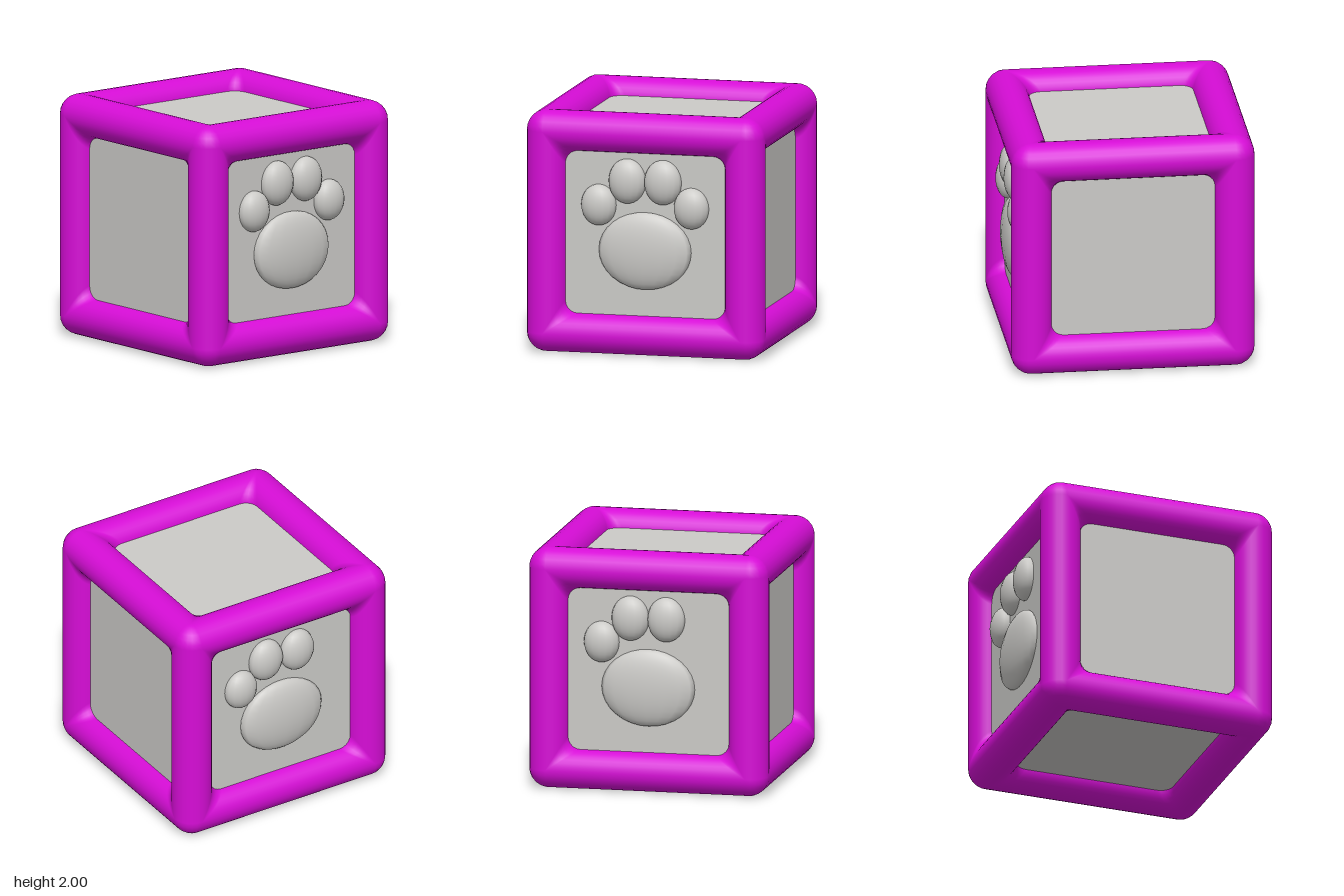
import * as THREE from 'three';

const C = 0.835;      // distance of bar axes from the cube centre
const R = 0.165;      // bar radius
const PANEL = 0.865;  // distance of the panels from the cube centre

// Inner quarter of one face's frame: rounded squares stepping from crest to opening
function innerFrameGeometry() {
  const rows = 8, arc = 5, pos = [], nor = [], idx = [];
  const n = 4 * (arc + 1);
  for (let i = 0; i <= rows; i++) {
    const a = (i / rows) * Math.PI / 2;
    const half = C - R * Math.sin(a), z = C + R * Math.cos(a);
    const r = 0.105 * Math.sin(a);
    for (let q = 0; q < 4; q++) {
      const mid = Math.PI / 4 + q * Math.PI / 2;
      const cx = Math.sign(Math.cos(mid)) * (half - r);
      const cy = Math.sign(Math.sin(mid)) * (half - r);
      for (let k = 0; k <= arc; k++) {
        const p = (q + k / arc) * Math.PI / 2;
        pos.push(cx + r * Math.cos(p), cy + r * Math.sin(p), z);
        nor.push(-Math.cos(p) * Math.sin(a), -Math.sin(p) * Math.sin(a), Math.cos(a));
      }
    }
  }
  for (let i = 0; i < rows; i++) {
    for (let j = 0; j < n; j++) {
      const a = i * n + j, b = i * n + (j + 1) % n;
      idx.push(a, b, a + n, b, b + n, a + n);
    }
  }
  const g = new THREE.BufferGeometry();
  g.setAttribute('position', new THREE.Float32BufferAttribute(pos, 3));
  g.setAttribute('normal', new THREE.Float32BufferAttribute(nor, 3));
  g.setIndex(idx);
  return g;
}

export function createModel() {
  const magenta = new THREE.MeshStandardMaterial({ color: 0xd60dd6 });
  magenta.name = 'magenta';
  const grey = new THREE.MeshStandardMaterial({ color: 0xcbcac7 });
  grey.name = 'light grey';

  const model = new THREE.Group();
  model.name = 'pawCube';
  const cube = new THREE.Group();
  cube.name = 'cube';
  cube.position.y = 1;
  model.add(cube);

  const add = (parent, name, geometry, material) => {
    const m = new THREE.Mesh(geometry, material);
    m.name = name;
    parent.add(m);
    return m;
  };

  // Core whose faces are the six panels
  add(cube, 'panels', new THREE.BoxGeometry(2 * PANEL, 2 * PANEL, 2 * PANEL), grey);

  // Rounded outer edges: four bars along each axis
  const bar = new THREE.CylinderGeometry(R, R, 2 * C, 6, 1, true, 0, Math.PI / 2);
  bar.translate(C, 0, C);
  for (const [rx, rz] of [[0, 0], [Math.PI / 2, 0], [0, Math.PI / 2]]) {
    const set = new THREE.Group();
    set.name = 'edgeBars';
    set.rotation.set(rx, 0, rz);
    for (let k = 0; k < 4; k++) add(set, 'edgeBar', bar, magenta).rotation.y = k * Math.PI / 2;
    cube.add(set);
  }

  // Ball corners
  const ball = new THREE.SphereGeometry(R, 24, 12);
  for (const x of [-C, C]) for (const y of [-C, C]) for (const z of [-C, C]) {
    add(cube, 'corner', ball, magenta).position.set(x, y, z);
  }

  // Inner frame slopes on all six faces
  const slope = innerFrameGeometry();
  for (let k = 0; k < 4; k++) add(cube, 'innerFrame', slope, magenta).rotation.y = k * Math.PI / 2;
  for (const s of [-1, 1]) add(cube, 'innerFrame', slope, magenta).rotation.x = s * Math.PI / 2;

  // Paw pads: x, y, half width, half height
  const pads = [
    ['mainPad', 0, -0.133, 0.39, 0.32],
    ['outerToe', -0.39, 0.235, 0.148, 0.17],
    ['innerToe', -0.15, 0.44, 0.157, 0.185],
    ['innerToe', 0.15, 0.44, 0.157, 0.185],
    ['outerToe', 0.39, 0.235, 0.148, 0.17],
  ];
  const pad = new THREE.SphereGeometry(1, 16, 16);
  const addPaw = (name, list, turn) => {
    const paw = new THREE.Group();
    paw.name = name;
    paw.rotation.y = turn;
    for (const [part, x, y, w, h] of list) {
      const m = add(paw, part, pad, grey);
      m.position.set(x, y, 0.875);
      m.scale.set(w, h, 0.1);
    }
    cube.add(paw);
  };
  addPaw('frontPaw', pads, 0);
  addPaw('backPaw', pads.slice(0, 4), Math.PI); // three toes only

  return model;
}
